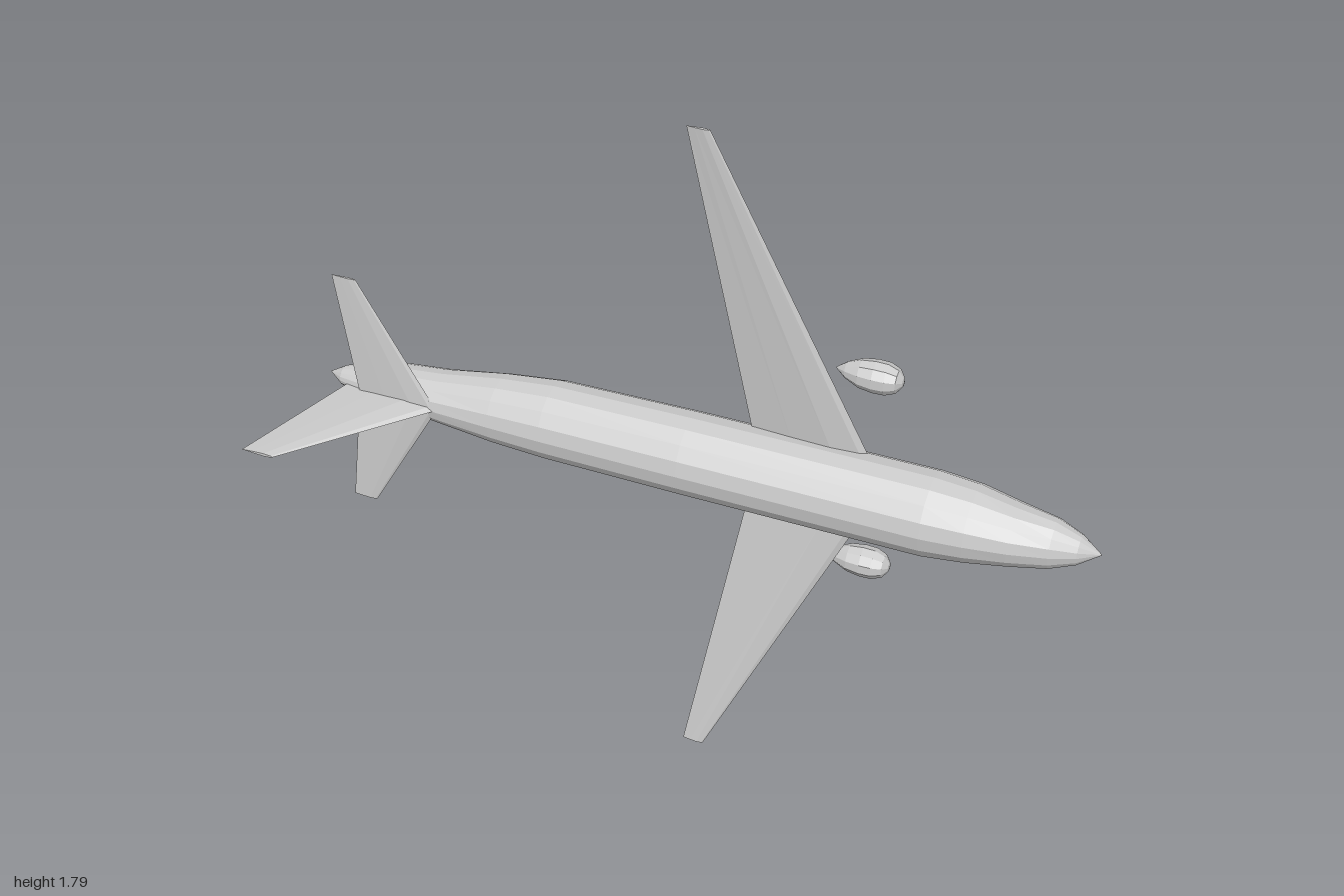
import * as THREE from 'three';

const CY = 0.895; // height of the fuselage axis; nose points to +x, aircraft top to +z

// Closed skin through equal-sized rings of Vector3, wound outward
function loft(rings) {
  const n = rings[0].length, pos = [], idx = [];
  rings.forEach(r => r.forEach(p => pos.push(p.x, p.y, p.z)));
  for (let i = 0; i < rings.length - 1; i++) {
    for (let j = 0; j < n; j++) {
      const a = i * n + j, b = i * n + (j + 1) % n;
      idx.push(a, b, b + n, a, b + n, a + n);
    }
  }
  const last = (rings.length - 1) * n;
  for (let j = 1; j < n - 1; j++) {
    idx.push(0, j + 1, j, last, last + j, last + j + 1);
  }
  // Reverse the faces when the enclosed volume comes out negative
  const at = i => new THREE.Vector3().fromArray(pos, i * 3);
  let volume = 0;
  for (let i = 0; i < idx.length; i += 3) {
    volume += at(idx[i]).dot(at(idx[i + 1]).cross(at(idx[i + 2])));
  }
  if (volume < 0) idx.reverse();
  const g = new THREE.BufferGeometry();
  g.setAttribute('position', new THREE.Float32BufferAttribute(pos, 3));
  g.setIndex(idx);
  g.computeVertexNormals();
  return g;
}

// Round cross-section: x, belly z, top z, half width
function bodyRing([x, z0, z1, w], sides, y) {
  return Array.from({ length: sides }, (_, j) => {
    const a = (j / sides) * Math.PI * 2;
    return new THREE.Vector3(x, y + Math.cos(a) * w, (z0 + z1) / 2 + Math.sin(a) * (z1 - z0) / 2);
  });
}

// Airfoil: chord fraction from the leading edge, share of the half thickness
const FOIL = [[0, 0], [0.06, 0.6], [0.3, 1], [0.65, 0.6], [1, 0], [0.65, -0.6], [0.3, -1], [0.06, -0.6]];

// Airfoil ring between leading and trailing edge, thickened along one axis
function foilRing(lead, trail, half, axis) {
  const a = new THREE.Vector3(...lead), b = new THREE.Vector3(...trail);
  return FOIL.map(([t, h]) => {
    const p = a.clone().lerp(b, t);
    p[axis] += h * half;
    return p;
  });
}

export function createModel() {
  const group = new THREE.Group();
  const mat = new THREE.MeshStandardMaterial({ color: 0xcccccc, flatShading: true });
  const add = (name, geometry) => {
    const mesh = new THREE.Mesh(geometry, mat);
    mesh.name = name;
    group.add(mesh);
  };

  // Fuselage from tail tip to nose
  const sections = [
    [-0.97, -0.106, -0.104, 0.001], [-0.93, -0.132, -0.077, 0.024], [-0.87, -0.165, -0.06, 0.04],
    [-0.8, -0.183, -0.052, 0.05], [-0.66, -0.194, -0.045, 0.064], [-0.5, -0.218, -0.037, 0.087],
    [-0.36, -0.236, -0.033, 0.098], [0, -0.24, -0.03, 0.102], [0.6, -0.24, -0.028, 0.102],
    [0.7, -0.234, -0.037, 0.092], [0.8, -0.213, -0.052, 0.074], [0.89, -0.194, -0.074, 0.06],
    [0.95, -0.17, -0.098, 0.036], [1, -0.136, -0.134, 0.001],
  ];
  add('fuselage', loft(sections.map(s => bodyRing(s, 16, CY))));

  // Nacelle: x and radius from the pointed rear to the blunt front
  const nacelle = [[0.32, 0.001], [0.345, 0.02], [0.38, 0.035], [0.415, 0.04],
    [0.445, 0.039], [0.47, 0.029], [0.482, 0.012], [0.484, 0.001]];

  for (const s of [1, -1]) {
    const side = s > 0 ? 'Upper' : 'Lower';
    const y = d => CY + s * d;

    // Swept, rising wing
    add('wing' + side, loft([
      foilRing([0.456, y(0.03), -0.178], [0.15, y(0.03), -0.175], 0.015, 'z'),
      foilRing([0.055, y(0.895), -0.092], [0, y(0.895), -0.092], 0.004, 'z'),
    ]));

    // Horizontal stabiliser
    add('stabiliser' + side, loft([
      foilRing([-0.645, y(0), -0.053], [-0.86, y(0), -0.053], 0.009, 'z'),
      foilRing([-0.84, y(0.33), -0.053], [-0.905, y(0.33), -0.053], 0.003, 'z'),
    ]));

    // Free-standing engine pod
    add('engine' + side, loft(nacelle.map(([x, r]) =>
      bodyRing([x, -0.231 - r, -0.231 + r, r], 10, y(0.272)))));
  }

  // Tail fin
  add('tailFin', loft([
    foilRing([-0.64, CY, -0.06], [-0.905, CY, -0.075], 0.014, 'y'),
    foilRing([-0.915, CY, 0.271], [-1, CY, 0.271], 0.004, 'y'),
  ]));

  return group;
}
